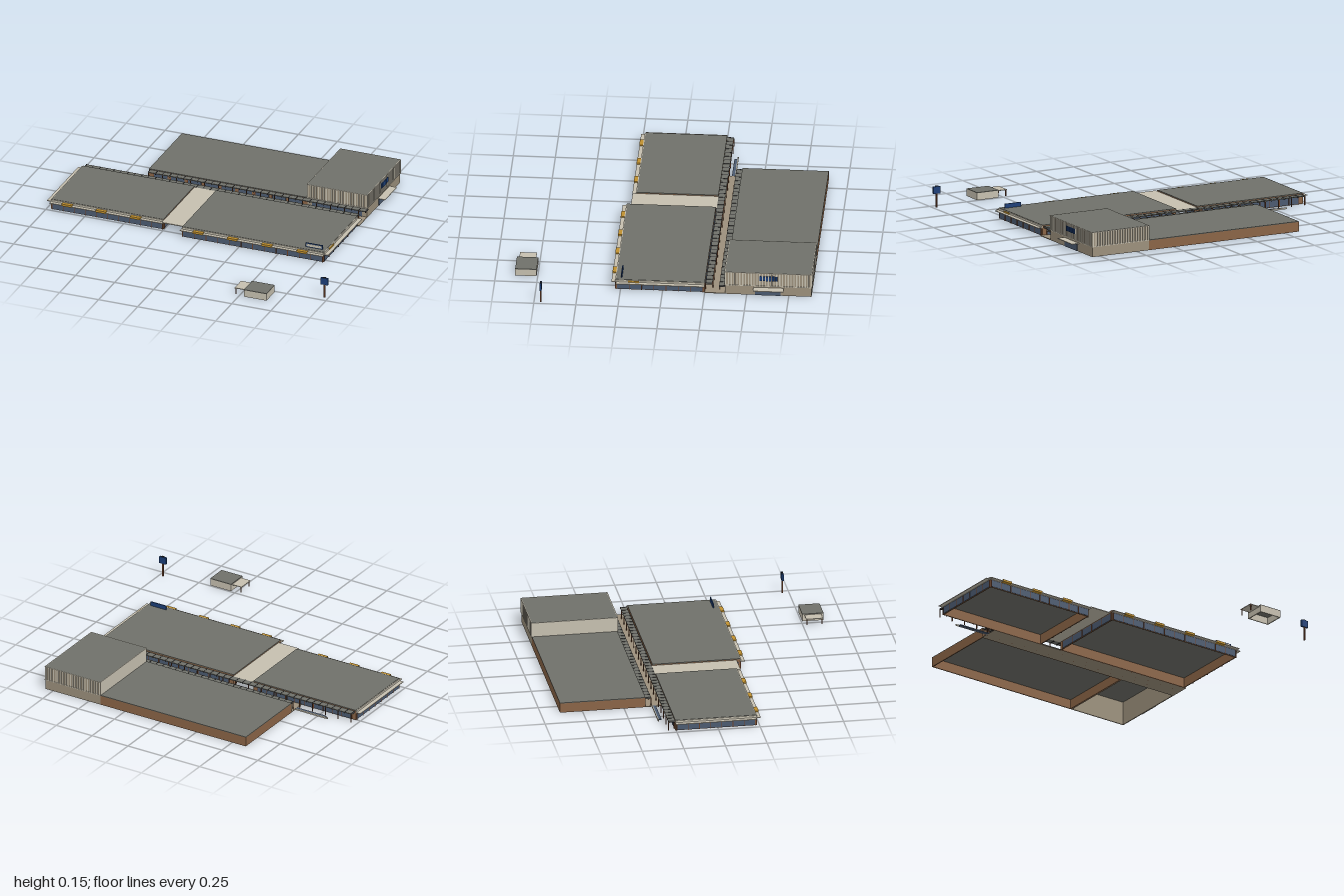
import * as THREE from 'three';

const mat = (name, color) => {
  const m = new THREE.MeshStandardMaterial({ color });
  m.name = name;
  return m;
};

export function createModel() {
  const M = {
    roof: mat('roofGrey', 0x70716a),
    beige: mat('beige', 0xc6c0b0),
    tan: mat('tan', 0x9c907c),
    brick: mat('brick', 0x8a6446),
    glass: mat('glass', 0x4b5a70),
    wood: mat('brownTimber', 0x6e4128),
    navy: mat('navy', 0x1c3f78),
    orange: mat('orange', 0xc0902f),
    dark: mat('darkTrim', 0x2b2a2c),
  };
  const root = new THREE.Group();
  root.name = 'shoppingCentre';

  const group = (name) => {
    const g = new THREE.Group();
    g.name = name;
    root.add(g);
    return g;
  };
  // Box given by its limits on each axis
  const box = (g, name, m, x0, x1, y0, y1, z0, z1) => {
    const mesh = new THREE.Mesh(new THREE.BoxGeometry(x1 - x0, y1 - y0, z1 - z0), m);
    mesh.position.set((x0 + x1) / 2, (y0 + y1) / 2, (z0 + z1) / 2);
    mesh.name = name;
    g.add(mesh);
    return mesh;
  };
  // Four thin walls under a roof slab, open at the bottom
  const shell = (g, wall, x0, x1, z0, z1, h, t = 0.006) => {
    box(g, 'frontWall', wall, x0, x1, 0, h - 0.004, z1 - t, z1);
    box(g, 'backWall', wall, x0, x1, 0, h - 0.004, z0, z0 + t);
    box(g, 'rightWall', wall, x0, x0 + t, 0, h - 0.004, z0 + t, z1 - t);
    box(g, 'leftWall', wall, x1 - t, x1, 0, h - 0.004, z0 + t, z1 - t);
    box(g, 'roof', M.roof, x0, x1, h - 0.004, h, z0, z1);
  };
  // Glazing with timber mullions along x (dir = face direction in z)
  const glazeX = (g, x0, x1, z, dir, n) => {
    const lim = (a) => [Math.min(z, z + dir * a), Math.max(z, z + dir * a)];
    box(g, 'shopWindows', M.glass, x0, x1, 0.003, 0.045, ...lim(0.003));
    for (let i = 0; i <= n; i++) {
      const x = x0 + ((x1 - x0) * i) / n;
      box(g, 'mullion', M.wood, x - 0.002, x + 0.002, 0, 0.045, ...lim(0.005));
    }
  };
  const glazeZ = (g, z0, z1, x, dir, n) => {
    const lim = (a) => [Math.min(x, x + dir * a), Math.max(x, x + dir * a)];
    box(g, 'sideWindows', M.glass, ...lim(0.003), 0.003, 0.045, z0, z1);
    for (let i = 0; i <= n; i++) {
      const z = z0 + ((z1 - z0) * i) / n;
      box(g, 'mullion', M.wood, ...lim(0.005), 0, 0.045, z - 0.002, z + 0.002);
    }
  };

  // Front shop blocks with glazing, fascia and thin awnings
  const blocks = [
    { name: 'rightShopBlock', x0: -0.97, x1: -0.255, z0: -0.255, z1: 0.23, side: -1, n: 10 },
    { name: 'leftShopBlock', x0: -0.115, x1: 0.79, z0: -0.25, z1: 0.277, side: 1, n: 12 },
  ];
  for (const b of blocks) {
    const g = group(b.name);
    const outer = b.side > 0 ? b.x1 : b.x0;
    const inner = b.side > 0 ? b.x0 : b.x1;
    const ox = [Math.min(outer, outer + b.side * 0.005), Math.max(outer, outer + b.side * 0.005)];
    shell(g, M.brick, b.x0, b.x1, b.z0, b.z1, 0.065);
    glazeX(g, b.x0 + 0.005, b.x1 - 0.005, b.z1, 1, b.n);
    glazeX(g, b.x0 + 0.03, b.x1 - 0.03, b.z0, -1, b.n);
    glazeZ(g, b.z0 + 0.01, b.z1 - 0.005, outer, b.side, 7);
    glazeZ(g, b.z0 + 0.03, b.z1 - 0.01, inner, -b.side, 5);
    box(g, 'frontFascia', M.beige, b.x0, b.x1, 0.045, 0.063, b.z1, b.z1 + 0.005);
    box(g, 'sideFascia', M.beige, ...ox, 0.045, 0.063, b.z0, b.z1);
    box(g, 'frontAwning', M.beige, b.x0 - 0.005, b.x1 + 0.005, 0.047, 0.051, b.z1, b.z1 + 0.027);
    box(g, 'sideAwning', M.beige, Math.min(outer, outer + b.side * 0.03),
      Math.max(outer, outer + b.side * 0.03), 0.047, 0.051, b.z0, b.z1);
  }
  const signs = group('fasciaPanels');
  for (const x of [-0.865, -0.645, -0.425])
    box(signs, 'fasciaPanel', M.orange, x - 0.032, x + 0.032, 0.046, 0.059, 0.235, 0.258);
  for (const x of [-0.005, 0.215, 0.435, 0.66])
    box(signs, 'fasciaPanel', M.orange, x - 0.032, x + 0.032, 0.046, 0.059, 0.282, 0.305);
  box(signs, 'sideFasciaPanel', M.orange, 0.795, 0.8, 0.049, 0.061, 0.14, 0.205);

  // Roof over the passage between the front blocks
  const passage = group('passage');
  box(passage, 'passageRoof', M.beige, -0.255, -0.115, 0.052, 0.057, -0.255, 0.255);

  // Board standing on the left block's roof
  const board = group('roofBoard');
  box(board, 'boardBack', M.navy, 0.663, 0.772, 0.066, 0.092, 0.242, 0.248);
  box(board, 'boardFace', M.beige, 0.67, 0.765, 0.071, 0.087, 0.248, 0.25);

  // Long low rear block
  const rear = group('rearBlock');
  shell(rear, M.brick, -0.595, 0.42, -0.885, -0.372, 0.062);
  for (let i = 0; i < 9; i++) {
    const x = -0.56 + i * 0.108;
    box(rear, 'shopWindow', M.glass, x, x + 0.085, 0.004, 0.044, -0.372, -0.369);
    box(rear, 'windowPost', M.wood, x - 0.004, x, 0, 0.046, -0.372, -0.367);
  }

  // Tall corner hall with vertical fins
  const hall = group('tallHall');
  shell(hall, M.tan, 0.42, 0.802, -0.885, -0.372, 0.15);
  const ring = (y0, y1) => {
    box(hall, 'trimFront', M.beige, 0.42, 0.806, y0, y1, -0.372, -0.367);
    box(hall, 'trimBack', M.beige, 0.42, 0.806, y0, y1, -0.889, -0.885);
    box(hall, 'trimSide', M.beige, 0.802, 0.806, y0, y1, -0.885, -0.372);
  };
  ring(0.06, 0.064);
  ring(0.146, 0.15);
  for (let i = 0; i <= 22; i++) {
    const x = 0.424 + i * 0.0169;
    box(hall, 'frontFin', M.beige, x - 0.0035, x + 0.0035, 0.062, 0.148, -0.372, -0.367);
    box(hall, 'backFin', M.beige, x - 0.0035, x + 0.0035, 0.062, 0.148, -0.889, -0.885);
  }
  for (let i = 0; i <= 30; i++) {
    const z = -0.882 + i * 0.0169;
    box(hall, 'sideFin', M.beige, 0.802, 0.806, 0.062, 0.148, z - 0.0035, z + 0.0035);
  }
  box(hall, 'hallRightTrim', M.beige, 0.417, 0.42, 0.062, 0.15, -0.885, -0.372);
  box(hall, 'hallEntrance', M.glass, 0.802, 0.805, 0, 0.044, -0.7, -0.55);
  box(hall, 'entranceAwning', M.beige, 0.802, 0.848, 0.047, 0.051, -0.72, -0.54);
  for (let i = 0; i < 6; i++)
    box(hall, 'wallPlate', M.navy, 0.806, 0.811, 0.1, 0.13, -0.682 + i * 0.018, -0.668 + i * 0.018);
  box(hall, 'hallFrontWindows', M.glass, 0.45, 0.77, 0.004, 0.044, -0.372, -0.369);

  // Paved lane with a timber-posted canopy along each side
  const lane = group('coveredLane');
  box(lane, 'paving', M.tan, -0.595, 0.802, 0, 0.004, -0.372, -0.25);
  const canopy = (x0, x1, zWall, zPost) => {
    const a = Math.min(zWall, zPost), b = Math.max(zWall, zPost);
    box(lane, 'canopyRoof', M.roof, x0, x1, 0.052, 0.057, a, b);
    const n = Math.round((x1 - x0) / 0.045);
    for (let i = 0; i <= n; i++) {
      const x = x0 + 0.004 + ((x1 - x0 - 0.008) * i) / n;
      box(lane, 'canopyRafter', M.dark, x - 0.002, x + 0.002, 0.048, 0.0585, a, b);
      if (i % 2 === 0)
        box(lane, 'canopyPost', M.wood, x - 0.0025, x + 0.0025, 0, 0.052, zPost - 0.0025, zPost + 0.0025);
    }
  };
  canopy(-0.965, 0.785, -0.255, -0.295);
  canopy(-0.588, 0.81, -0.375, -0.337);

  // Low kerbed strip at the end of the lane
  const strip = group('kerbStrip');
  box(strip, 'stripTop', M.glass, -0.8, -0.595, 0, 0.006, -0.328, -0.31);
  box(strip, 'stripKerb', M.beige, -0.82, -0.595, 0, 0.009, -0.334, -0.328);

  // Detached kiosk with a small side canopy
  const kiosk = group('kiosk');
  shell(kiosk, M.beige, 0.53, 0.675, 0.757, 0.884, 0.046);
  box(kiosk, 'kioskCanopy', M.beige, 0.465, 0.53, 0.036, 0.04, 0.77, 0.87);
  for (const z of [0.775, 0.865])
    box(kiosk, 'kioskPost', M.wood, 0.469, 0.474, 0, 0.036, z - 0.0025, z + 0.0025);

  // Roadside pylon
  const pylon = group('pylon');
  box(pylon, 'pylonPost', M.wood, 0.971, 0.979, 0, 0.085, 0.706, 0.714);
  box(pylon, 'pylonBoard', M.navy, 0.952, 0.998, 0.084, 0.127, 0.704, 0.716);
  box(pylon, 'pylonCap', M.dark, 0.966, 0.984, 0.127, 0.131, 0.705, 0.715);

  return root;
}
